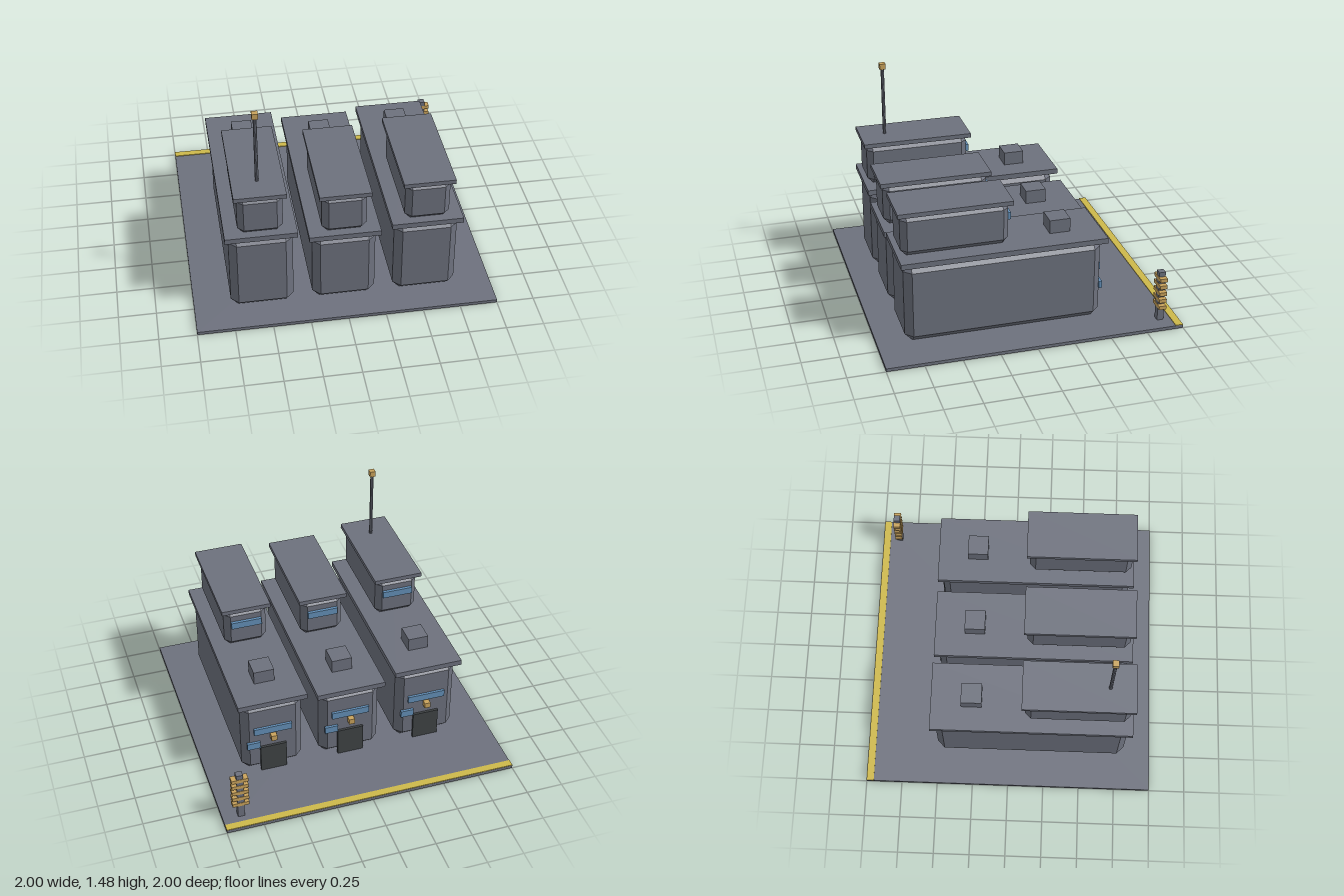
import * as THREE from 'three';
import { ConvexGeometry } from 'three/addons/geometries/ConvexGeometry.js';

function material(name, color) {
  const m = new THREE.MeshStandardMaterial({ color });
  m.name = name;
  return m;
}

// Box with every edge cut at 45 degrees
function chamferedBox(w, h, d, c) {
  const points = [];
  for (const sx of [-1, 1]) for (const sy of [-1, 1]) for (const sz of [-1, 1]) {
    const x = w / 2, y = h / 2, z = d / 2;
    points.push(
      new THREE.Vector3(sx * x, sy * (y - c), sz * (z - c)),
      new THREE.Vector3(sx * (x - c), sy * y, sz * (z - c)),
      new THREE.Vector3(sx * (x - c), sy * (y - c), sz * z)
    );
  }
  return new ConvexGeometry(points);
}

export function createModel() {
  const slate = material('slate', 0x6d717d);
  const doorGrey = material('door charcoal', 0x3f4345);
  const glass = material('window blue', 0x6390b8);
  const brass = material('brass', 0xc9a35c);
  const yellow = material('warning yellow', 0xcdb84a);

  const model = new THREE.Group();
  model.name = 'compound';

  function add(parent, name, geometry, mat, x, y, z) {
    const mesh = new THREE.Mesh(geometry, mat);
    mesh.name = name;
    mesh.position.set(x, y, z);
    parent.add(mesh);
    return mesh;
  }
  // Boxes are given by width, depth, and their bottom and top heights
  function box(parent, name, mat, x, z, w, d, y0, y1) {
    return add(parent, name, new THREE.BoxGeometry(w, y1 - y0, d), mat, x, (y0 + y1) / 2, z);
  }
  function block(parent, name, x, z, w, d, y0, y1, c) {
    return add(parent, name, chamferedBox(w, y1 - y0, d, c), slate, x, (y0 + y1) / 2, z);
  }

  // Ground slab and edge marking
  box(model, 'groundSlab', slate, 0, 0, 2, 2, 0, 0.022);
  box(model, 'edgeStripe', yellow, 0, -0.974, 2, 0.05, 0.022, 0.027);

  // Three buildings, differing only in height; top is the height of the main roof
  const buildings = [
    { name: 'rightBuilding', x: -0.545, top: 0.637 },
    { name: 'middleBuilding', x: 0, top: 0.583 },
    { name: 'leftBuilding', x: 0.543, top: 0.62 }
  ];
  for (const { name, x, top } of buildings) {
    const b = new THREE.Group();
    b.name = name;
    b.position.x = x;
    model.add(b);

    // Lower storey, roof and vent
    block(b, 'lowerStorey', 0, 0.155, 0.42, 1.32, 0.022, top - 0.037, 0.05);
    box(b, 'lowerRoof', slate, 0, 0.152, 0.472, 1.375, top - 0.037, top);
    box(b, 'roofVent', slate, 0, -0.258, 0.14, 0.14, top, top + 0.093);

    // Upper storey set towards the front
    block(b, 'upperStorey', 0, 0.462, 0.295, 0.71, top, top + 0.29, 0.04);
    box(b, 'upperRoof', slate, 0, 0.462, 0.338, 0.755, top + 0.288, top + 0.318);
    box(b, 'upperWindow', glass, 0, 0.097, 0.21, 0.022, top + 0.16, top + 0.208);

    // Back entrance with lamp and windows
    box(b, 'door', doorGrey, 0, -0.512, 0.18, 0.02, 0.022, 0.225);
    box(b, 'wideWindow', glass, 0, -0.512, 0.26, 0.02, 0.34, 0.39);
    box(b, 'sideWindow', glass, 0.135, -0.512, 0.09, 0.02, 0.225, 0.275);
    box(b, 'doorLamp', brass, 0, -0.53, 0.04, 0.04, 0.29, 0.33);
  }

  // Mast on the tallest building
  const mast = new THREE.Group();
  mast.name = 'mast';
  mast.position.set(-0.545, 0, 0.665);
  model.add(mast);
  add(mast, 'mastPole', new THREE.CylinderGeometry(0.012, 0.012, 0.485, 8).toNonIndexed(), slate, 0, 1.195, 0)
    .geometry.computeVertexNormals();
  box(mast, 'mastBeacon', brass, 0, 0, 0.04, 0.04, 1.435, 1.475);

  // Insulator post with stacked bars
  const post = new THREE.Group();
  post.name = 'insulatorPost';
  post.position.set(0.875, 0, -0.878);
  model.add(post);
  box(post, 'postCore', slate, 0, 0, 0.045, 0.044, 0.022, 0.38);
  for (let i = 0; i < 5; i++) {
    const y = 0.13 + i * 0.051;
    box(post, 'insulatorBar', brass, 0, 0, 0.112, 0.05, y - 0.013, y + 0.013);
  }

  return model;
}
